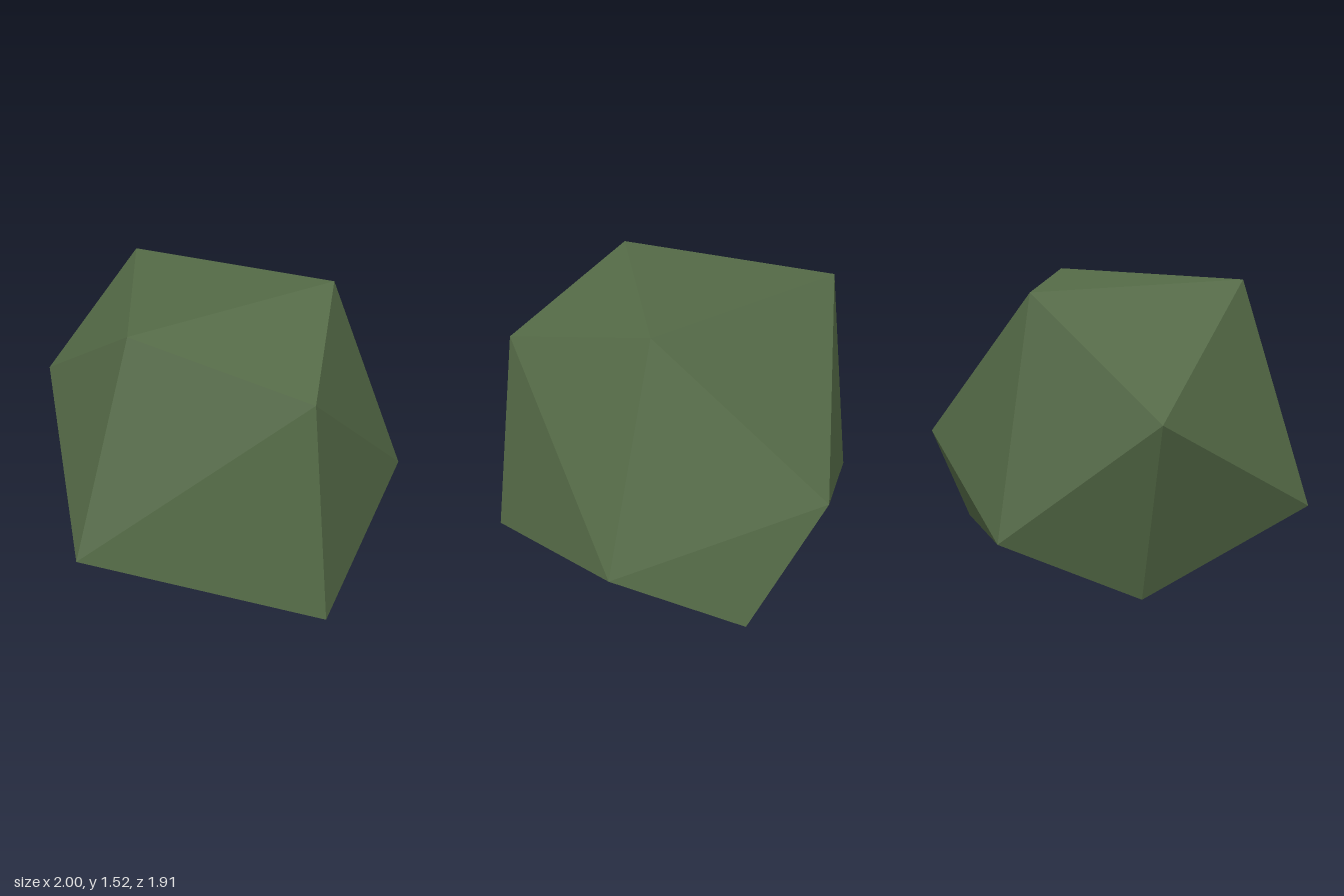
import * as THREE from 'three';
import { ConvexGeometry } from 'three/addons/geometries/ConvexGeometry.js';

// A faceted boulder: the convex skin around twelve corners
export function createModel() {
  const mossGreen = new THREE.MeshStandardMaterial({ color: 0x556b47 });
  mossGreen.name = 'mossGreen';

  const corners = [
    // upper rim
    [-0.62, 1.5, -0.005], [0.495, 1.525, 0.325], [0.185, 1.477, -0.848], [-0.215, 1.285, 0.785],
    // waist
    [-0.448, 0.93, -0.915], [0.975, 0.69, -0.39], [0.765, 0.43, 0.675],
    [-1, 0.355, -0.06], [0.33, 0.318, -0.957],
    // base
    [-0.24, 0.103, 0.957], [1, 0.067, 0.045], [-0.285, 0, -0.665],
  ].map((p) => new THREE.Vector3(...p));

  const boulder = new THREE.Mesh(new ConvexGeometry(corners), mossGreen);
  boulder.name = 'boulder';

  const group = new THREE.Group();
  group.name = 'rock';
  group.add(boulder);
  return group;
}
